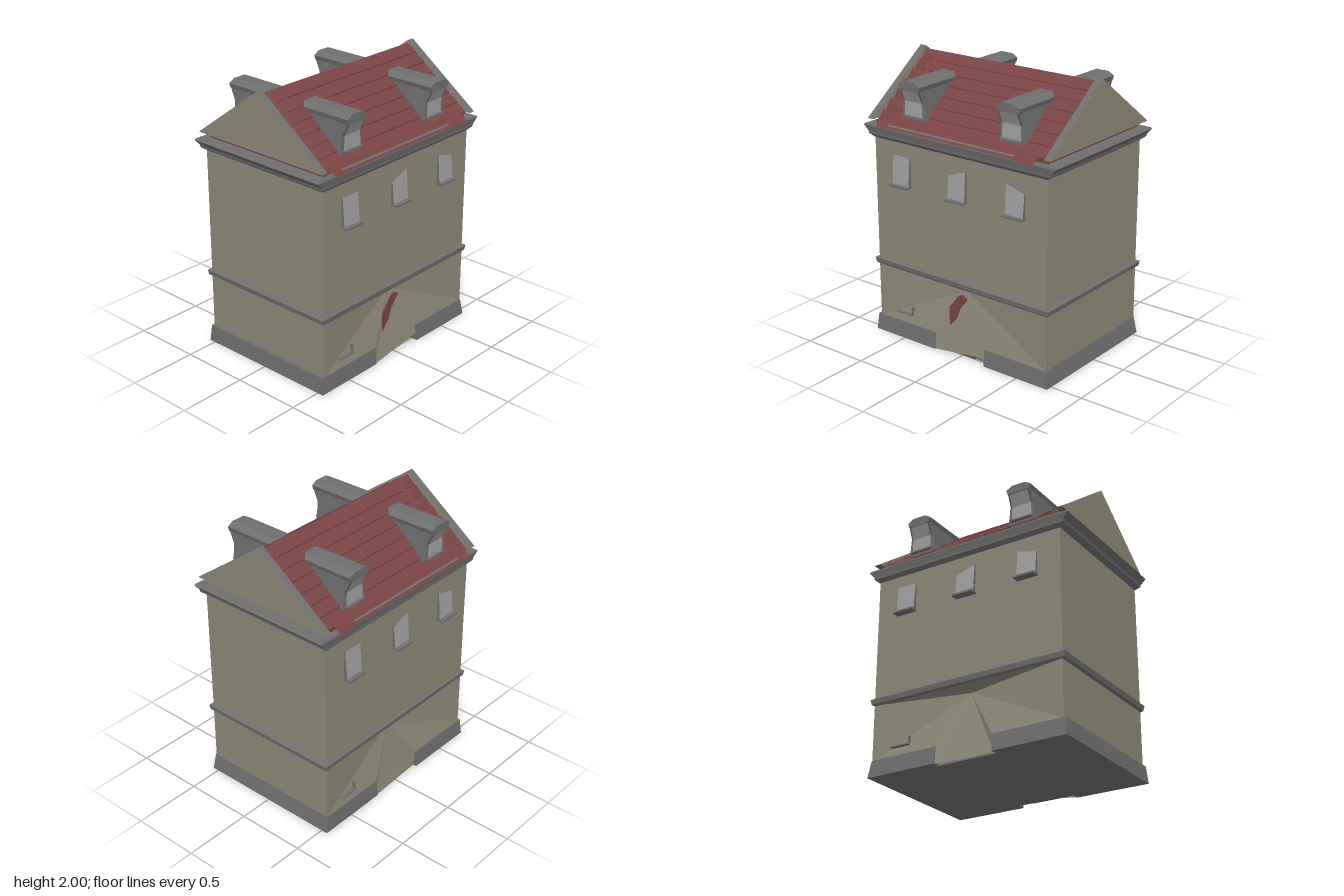
import * as THREE from 'three';

const mat = (name, color) => new THREE.MeshStandardMaterial({ name, color, side: THREE.DoubleSide });

export function createModel() {
  const wall = mat('wall plaster', 0x8c8876);
  const stone = mat('grey stone', 0x6e6e6e);
  const tile = mat('red tile', 0x7b4343);
  const glass = mat('pale window', 0xa0a0a0);

  const house = new THREE.Group();
  house.name = 'house';

  const add = (parent, name, geometry, material) => {
    const mesh = new THREE.Mesh(geometry, material);
    mesh.name = name;
    parent.add(mesh);
    return mesh;
  };

  // Box given by its minimum and maximum corners
  const box = (parent, name, material, [x0, y0, z0], [x1, y1, z1]) =>
    add(parent, name, new THREE.BoxGeometry(x1 - x0, y1 - y0, z1 - z0)
      .translate((x0 + x1) / 2, (y0 + y1) / 2, (z0 + z1) / 2), material);

  // Flat faces from polygons; optionally mirrored to the back
  const faces = (parent, name, material, polygons, mirrored = false) => {
    const pos = [];
    for (const p of polygons) {
      for (let i = 1; i < p.length - 1; i++) {
        const tri = mirrored ? [p[0], p[i + 1], p[i]] : [p[0], p[i], p[i + 1]];
        for (const [x, y, z] of tri) pos.push(x, y, mirrored ? -z : z);
      }
    }
    const g = new THREE.BufferGeometry();
    g.setAttribute('position', new THREE.Float32BufferAttribute(pos, 3));
    g.computeVertexNormals();
    return add(parent, name, g, material);
  };

  // Rectangular rings [y, x0, x1, z] joined upward, capped at both ends
  const loft = (name, material, rings) => {
    const loops = rings.map(([y, x0, x1, z]) => [[x0, y, z], [x1, y, z], [x1, y, -z], [x0, y, -z]]);
    const polys = [[...loops[0]].reverse(), loops.at(-1)];
    for (let r = 0; r < loops.length - 1; r++) {
      for (let i = 0; i < 4; i++) {
        const j = (i + 1) % 4;
        polys.push([loops[r][i], loops[r][j], loops[r + 1][j], loops[r + 1][i]]);
      }
    }
    return faces(house, name, material, polys);
  };

  // Outline in x and y, extruded from z0 to z1
  const slab = (parent, name, material, points, z0, z1) => {
    const shape = new THREE.Shape(points.map(([x, y]) => new THREE.Vector2(x, y)));
    const g = new THREE.ExtrudeGeometry(shape, { depth: z1 - z0, bevelEnabled: false });
    return add(parent, name, g.translate(0, 0, z0), material);
  };

  // Plinth in two halves, leaving the doorway gap open front and back
  loft('plinthRight', stone, [[0, -0.765, -0.22, 0.547], [0.12, -0.755, -0.22, 0.536]]);
  loft('plinthLeft', stone, [[0, 0.22, 0.757, 0.547], [0.12, 0.22, 0.735, 0.536]]);
  box(house, 'doorwayFloor', stone, [-0.22, 0, -0.49], [0.22, 0.01, 0.49]);
  box(house, 'doorwayWall', wall, [-0.22, 0.01, -0.488], [0.22, 0.11, 0.488]);

  // Main walls, belt course and cornice
  box(house, 'upperWall', wall, [-0.735, 0.52, -0.53], [0.735, 1.47, 0.53]);
  for (const s of [-1, 1]) {
    const xs = [0.72 * s, 0.735 * s].sort((a, b) => a - b);
    box(house, 'lowerSideWall', wall, [xs[0], 0.11, -0.53], [xs[1], 0.52, 0.53]);
  }
  loft('beltCourse', stone, [[0.515, -0.74, 0.74, 0.532], [0.525, -0.755, 0.755, 0.54],
    [0.56, -0.762, 0.762, 0.546], [0.568, -0.74, 0.74, 0.532]]);
  loft('cornice', stone, [[1.455, -0.735, 0.735, 0.53], [1.48, -0.77, 0.77, 0.553],
    [1.5, -0.775, 0.775, 0.555], [1.54, -0.81, 0.81, 0.563], [1.55, -0.8, 0.8, 0.56]]);

  const front = new THREE.Group();
  front.name = 'frontFacade';
  const back = new THREE.Group();
  back.name = 'backFacade';
  back.rotation.y = Math.PI;
  house.add(front, back);

  // Faceted ground floor sinking in toward the doorway
  const apex = [0, 0.475, 0.45];
  const topL = [-0.735, 0.518, 0.53], topR = [0.735, 0.518, 0.53];
  const lowL = [-0.735, 0.11, 0.53], lowR = [0.735, 0.12, 0.53];
  const jambL = [-0.22, 0.11, 0.53], jambR = [0.22, 0.11, 0.53];
  const footL = [-0.22, 0, 0.54], footR = [0.22, 0, 0.52];
  const leftPart = [[topL, apex, topR], [topL, lowL, apex], [lowL, jambL, apex], [jambL, footL, apex]];
  faces(front, 'groundFloorWall', wall, [...leftPart, [apex, footL, lowR], [apex, lowR, topR]]);
  faces(back, 'groundFloorWall', wall, [...leftPart, [apex, footL, footR],
    [apex, footR, jambR], [apex, jambR, lowR], [apex, lowR, topR]]);

  // Door parts showing around the slanted wall
  slab(front, 'doorTop', tile, [[-0.11, 0.2], [-0.05, 0.27], [-0.02, 0.35], [0.05, 0.435],
    [0, 0.46], [-0.03, 0.44], [-0.11, 0.34]], 0.498, 0.507);
  slab(front, 'doorBottom', tile, [[-0.11, 0], [0.11, 0], [0.11, 0.1], [-0.11, 0.04]], 0.489, 0.498);

  // Upper windows: each pane has its own slanted top
  const windows = [[-0.49, 1.365, 1.365], [0, 1.32, 1.37], [0.485, 1.365, 1.325]];
  for (const side of [front, back]) {
    for (const [x, yl, yr] of windows) {
      const a = x - 0.073, b = x + 0.073;
      const p = [[a, 1.16, 0.556], [b, 1.16, 0.556], [b, yr, 0.54], [a, yl, 0.54]];
      const q = p.map(([px, py]) => [px, py, 0.529]);
      faces(side, 'windowPane', glass, [p]);
      faces(side, 'windowFrame', stone, p.map((_, i) => [p[i], q[i], q[(i + 1) % 4], p[(i + 1) % 4]]));
      box(side, 'windowSill', stone, [x - 0.08, 1.148, 0.53], [x + 0.08, 1.162, 0.588]);
    }
    // Low cellar window remnant
    box(side, 'cellarSill', stone, [-0.58, 0.182, 0.49], [-0.44, 0.19, 0.54]);
    box(side, 'cellarJamb', stone, [-0.447, 0.19, 0.49], [-0.44, 0.245, 0.53]);
  }

  // Dormers, two on each slope
  for (const side of [front, back]) {
    for (const x of [-0.415, 0.415]) {
      const d = new THREE.Group();
      d.name = 'dormer';
      d.position.x = x;
      side.add(d);
      slab(d, 'dormerBody', stone, [[-0.11, 1.62], [0.11, 1.62], [0.1, 1.68], [0.085, 1.85], [-0.085, 1.85], [-0.1, 1.68]], 0.15, 0.482);
      slab(d, 'dormerRoof', stone, [[-0.085, 1.835], [0.085, 1.835], [0.095, 1.87], [0.05, 1.895], [-0.05, 1.895], [-0.095, 1.87]], 0.11, 0.53);
      // Sloping soffit under the roof front
      faces(d, 'dormerSoffit', stone, [
        [[-0.088, 1.75, 0.483], [0.088, 1.75, 0.483], [0.085, 1.838, 0.525], [-0.085, 1.838, 0.525]].map(
          ([px, py, pz]) => [px, py, py < 1.8 ? pz + 0.001 : pz]),
        [[-0.088, 1.75, 0.483], [-0.085, 1.838, 0.525], [-0.085, 1.838, 0.48]],
        [[0.088, 1.75, 0.483], [0.085, 1.838, 0.48], [0.085, 1.838, 0.525]]]);
      faces(d, 'dormerPane', glass, [
        [[-0.078, 1.65, 0.488], [0.078, 1.65, 0.488], [0.074, 1.75, 0.488], [-0.074, 1.75, 0.488]],
        [[-0.074, 1.75, 0.488], [0.074, 1.75, 0.488], [0.07, 1.832, 0.526], [-0.07, 1.832, 0.526]]]);
      box(d, 'dormerSill', stone, [-0.085, 1.637, 0.47], [0.085, 1.649, 0.505]);
    }
  }

  // Roof slopes in overlapping courses with a ragged left edge
  const courses = 7, xl = -0.72, xi = -0.57, xr = 0.72;
  for (const mirrored of [false, true]) {
    const polys = [];
    for (let i = 0; i < courses; i++) {
      const z0 = 0.53 * i / courses, z1 = 0.53 * (i + 1) / courses;
      const y0 = 1.98 - 0.745 * z0, y1 = 1.98 - 0.745 * z1, lip = y1 + 0.008;
      const sink = mirrored ? 0.015 : 0.035;
      polys.push(
        [[xi, y0, z0], [xi, lip, z1], [xr, lip, z1], [xr, y0, z0]],
        [[xi, lip, z1], [xi, y1, z1], [xr, y1, z1], [xr, lip, z1]],
        [[xl, y0, z0], [xl, y1 - sink, z1], [xi, lip, z1]],
        [[xl, y0, z0], [xi, lip, z1], [xi, y0, z0]],
        [[xl, y1 - sink, z1], [xl, y1, z1], [xi, lip, z1]]);
    }
    faces(house, 'roofSlope', tile, polys, mirrored);

    // Eave with flared corners
    faces(house, 'eave', tile, [
      [[-0.6, 1.6, 0.52], [-0.58, 1.552, 0.573], [0.48, 1.552, 0.573], [0.5, 1.6, 0.52]],
      [[-0.7, 1.6, 0.52], [-0.665, 1.55, 0.597], [-0.58, 1.552, 0.573], [-0.6, 1.6, 0.52]],
      [[0.5, 1.6, 0.52], [0.48, 1.552, 0.573], [0.66, 1.55, 0.597], [0.66, 1.6, 0.53]]], mirrored);
    faces(house, 'gutter', stone, [
      [[-0.6, 1.575, 0.55], [-0.58, 1.566, 0.562], [0.48, 1.566, 0.562], [0.5, 1.575, 0.55]]], mirrored);
  }
  box(house, 'roofBase', tile, [-0.72, 1.545, -0.51], [0.72, 1.592, 0.51]);

  // Gable ends: plaster faces with grey coping edges
  for (const x of [-0.772, 0.722]) {
    const gable = slab(house, 'gable', [wall, stone], [[-0.56, 1.59], [0.56, 1.59], [0, 2]], 0, 0.05);
    gable.rotation.y = Math.PI / 2;
    gable.position.x = x;
  }

  return house;
}
